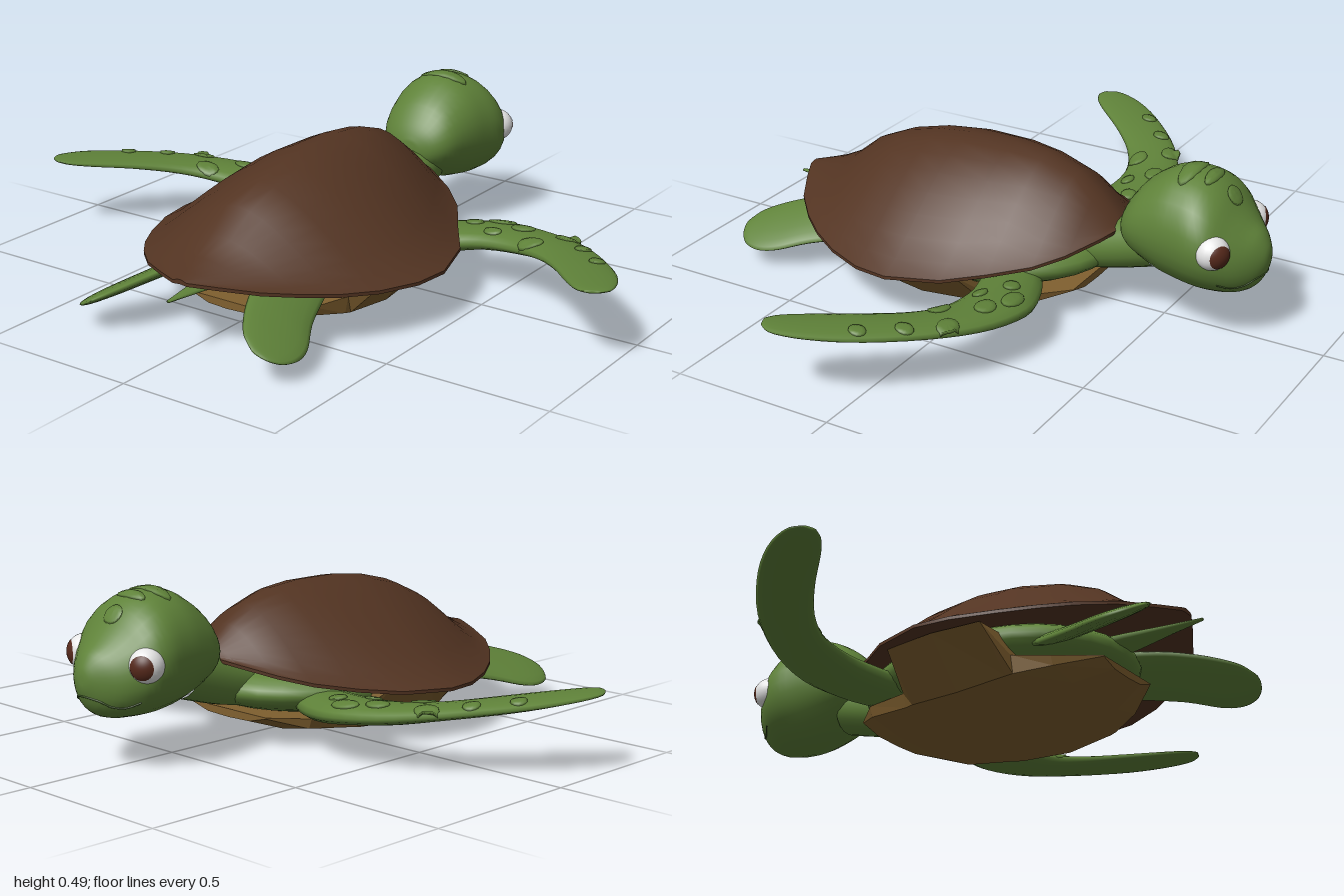
import * as THREE from 'three';
import { toCreasedNormals } from 'three/addons/utils/BufferGeometryUtils.js';

const mat = (name, color) => {
  const m = new THREE.MeshStandardMaterial({ color });
  m.name = name;
  return m;
};

// Closed skin over a list of rings (arrays of [x, y, z]), capped at both ends
function loft(rings) {
  const n = rings[0].length, last = rings.length - 1, pos = [], idx = [];
  const mid = r => [0, 1, 2].map(k => r.reduce((s, p) => s + p[k], 0) / n);
  rings.forEach(r => r.forEach(p => pos.push(...p)));
  pos.push(...mid(rings[0]), ...mid(rings[last]));
  const c0 = n * rings.length;
  for (let j = 0; j < n; j++) {
    const k = (j + 1) % n;
    for (let i = 0; i < last; i++) {
      const a = i * n + j, b = i * n + k;
      idx.push(a, a + n, b, b, a + n, b + n);
    }
    idx.push(c0, j, k, c0 + 1, last * n + k, last * n + j);
  }
  // Turn the faces outward if the volume comes out negative
  const at = i => new THREE.Vector3().fromArray(pos, i * 3);
  let volume = 0;
  for (let i = 0; i < idx.length; i += 3) volume += at(idx[i]).dot(at(idx[i + 1]).cross(at(idx[i + 2])));
  if (volume < 0) idx.reverse();
  const g = new THREE.BufferGeometry();
  g.setAttribute('position', new THREE.Float32BufferAttribute(pos, 3));
  g.setIndex(idx);
  g.computeVertexNormals();
  return g;
}

// Resample a table of rows along a smooth curve
function smooth(rows, n) {
  const cols = rows[0].map((_, k) => new THREE.SplineCurve(rows.map((r, i) => new THREE.Vector2(i, r[k]))));
  return Array.from({ length: n + 1 }, (_, i) => cols.map(c => c.getPoint(i / n).y));
}

// Lens-section blade; row = lead x,y,z, trail x,y,z, half thickness
function blade(rows, side) {
  return loft(smooth(rows, 28).map(([lx, ly, lz, tx, ty, tz, h]) =>
    Array.from({ length: 16 }, (_, j) => {
      const a = j / 16 * Math.PI * 2, s = (1 - Math.cos(a)) / 2;
      return [side * (lx + (tx - lx) * s), ly + (ty - ly) * s + h * Math.sin(a), lz + (tz - lz) * s];
    })));
}

const ray = new THREE.Raycaster();
function hit(mesh, from, dir) {
  ray.set(new THREE.Vector3(...from), new THREE.Vector3(...dir));
  const h = ray.intersectObject(mesh)[0];
  return h ? h.point : null;
}

// Thin raised scale following the top of a mesh
function scalePlate(mesh, cx, cz, rx, rz) {
  const rings = [[1, -0.003], [0.9, 0.005], [0.5, 0.006], [0.02, 0.006]].map(([r, lift]) =>
    Array.from({ length: 14 }, (_, j) => {
      const a = j / 14 * Math.PI * 2, x = cx + rx * r * Math.cos(a), z = cz + rz * r * Math.sin(a);
      const p = hit(mesh, [x, 2, z], [0, -1, 0]) || hit(mesh, [cx, 2, cz], [0, -1, 0]);
      return [x, (p ? p.y : 0.15) + lift, z];
    }));
  return loft(rings);
}

export function createModel() {
  const model = new THREE.Group();
  model.name = 'turtle';
  const skin = mat('green skin', 0x5f8239), shellBrown = mat('shell brown', 0x533422);
  const tan = mat('belly tan', 0x80602f), white = mat('eye white', 0xe6e6e6);
  const iris = mat('iris brown', 0x56291b), dark = mat('mouth green', 0x3f5a27);
  const add = (name, geo, material) => {
    const m = new THREE.Mesh(geo, material);
    m.name = name;
    model.add(m);
    return m;
  };

  // Upper shell: z, half width, rim height, ridge height
  const shellRows = [
    [-0.36, 0.06, 0.258, 0.266], [-0.34, 0.11, 0.248, 0.29], [-0.28, 0.21, 0.222, 0.345],
    [-0.21, 0.285, 0.2, 0.395], [-0.1, 0.355, 0.178, 0.43], [0.01, 0.43, 0.165, 0.44],
    [0.17, 0.475, 0.157, 0.438], [0.28, 0.46, 0.155, 0.425], [0.4, 0.41, 0.158, 0.395],
    [0.5, 0.35, 0.167, 0.35], [0.58, 0.285, 0.178, 0.285], [0.66, 0.2, 0.19, 0.245],
    [0.72, 0.1, 0.202, 0.225], [0.76, 0.025, 0.21, 0.216],
  ];
  const dome = u => Math.pow(1 - Math.pow(Math.abs(u), 1.7), 1.35);
  add('shell', toCreasedNormals(loft(shellRows.map(([z, w, rim, top]) => {
    const ring = [];
    for (let i = -8; i <= 8; i++) ring.push([w * i / 8, rim + (top - rim) * dome(i / 8), z]);
    for (let i = 8; i >= -8; i--) ring.push([w * i / 8, rim - 0.01 + (top - rim) * 0.35 * dome(i / 8), z]);
    return ring;
  })), 0.5), shellBrown);

  // Belly plate with side bridges: z, half width, bottom, outer half width, outer height
  const bellyRows = [
    [-0.28, 0.16, 0.065, 0.16, 0.09], [-0.18, 0.235, 0.032, 0.245, 0.085], [-0.03, 0.26, 0.014, 0.275, 0.075],
    [0, 0.27, 0.011, 0.385, 0.165], [0.17, 0.28, 0, 0.4, 0.16], [0.33, 0.265, 0.012, 0.385, 0.155],
    [0.35, 0.26, 0.015, 0.27, 0.09], [0.45, 0.21, 0.03, 0.22, 0.08], [0.56, 0.12, 0.06, 0.12, 0.085],
  ];
  add('bellyPlate', toCreasedNormals(loft(bellyRows.map(([z, w, b, wo, yo]) => {
    const half = [[wo, yo], [w, b + 0.022], [w * 0.55, b + 0.003]];
    return [...half, [0, b], ...half.map(([x, y]) => [-x, y]).reverse()].map(([x, y]) => [x, y, z]);
  })), 0.05), tan);

  // Body and neck
  add('body', new THREE.SphereGeometry(1, 32, 20).scale(0.34, 0.1, 0.44).translate(0, 0.15, 0.12), skin);
  const neckPath = new THREE.CatmullRomCurve3([[0.165, -0.18], [0.185, -0.3], [0.23, -0.46]]
    .map(([y, z]) => new THREE.Vector3(0, y, z)));
  add('neck', new THREE.TubeGeometry(neckPath, 10, 0.078, 20), skin);

  // Tail: flat tapering spike
  add('tail', loft([[0.45, 0.07, 0.022], [0.58, 0.05, 0.016], [0.7, 0.025, 0.01], [0.81, 0.005, 0.004]].map(([z, w, h]) =>
    Array.from({ length: 12 }, (_, j) => {
      const a = j / 12 * Math.PI * 2;
      return [w * Math.cos(a), 0.168 + h * Math.sin(a), z];
    }))), skin);

  // Head: z, half width, top, bottom
  const headRows = [
    [-0.372, 0.03, 0.31, 0.26], [-0.385, 0.075, 0.345, 0.235], [-0.41, 0.11, 0.385, 0.213],
    [-0.45, 0.135, 0.432, 0.188], [-0.52, 0.156, 0.478, 0.158], [-0.58, 0.168, 0.489, 0.145],
    [-0.64, 0.178, 0.48, 0.14], [-0.69, 0.17, 0.448, 0.142], [-0.73, 0.14, 0.4, 0.145],
    [-0.765, 0.105, 0.362, 0.156], [-0.795, 0.065, 0.335, 0.182], [-0.815, 0.03, 0.3, 0.225], [-0.82, 0.01, 0.275, 0.25],
  ];
  const head = add('head', loft(smooth(headRows, 36).map(([z, w, t, b]) =>
    Array.from({ length: 28 }, (_, j) => {
      const a = j / 28 * Math.PI * 2;
      return [w * Math.cos(a), (t + b) / 2 + (t - b) / 2 * Math.sin(a), z];
    }))), skin);
  [[-0.575, 0.09, 0.03], [-0.64, 0.06, 0.018], [-0.705, 0.035, 0.02]].forEach(([z, rx, rz]) =>
    add('headScale', scalePlate(head, 0, z, rx, rz), skin));

  // Mouth line around the beak
  const lip = [[0.205, -0.715], [0.19, -0.745], [0.194, -0.775], [0.208, -0.795]];
  const sideLip = s => lip.map(([y, z]) => hit(head, [s, y, z], [-s, 0, 0])).filter(Boolean);
  const front = hit(head, [0, 0.217, -2], [0, 0, 1]);
  const lipPath = new THREE.CatmullRomCurve3([...sideLip(1), ...(front ? [front] : []), ...sideLip(-1).reverse()]);
  add('mouth', new THREE.TubeGeometry(lipPath, 40, 0.003, 6), dark);

  // Front flippers
  const frontRows = [
    [0.2, 0.12, -0.2, 0.2, 0.12, -0.02, 0.04], [0.3, 0.125, -0.25, 0.33, 0.13, -0.06, 0.04],
    [0.43, 0.14, -0.285, 0.44, 0.145, -0.09, 0.034], [0.59, 0.157, -0.25, 0.56, 0.157, -0.08, 0.028],
    [0.75, 0.18, -0.16, 0.66, 0.175, -0.03, 0.022], [0.89, 0.2, -0.03, 0.76, 0.195, 0.06, 0.018],
    [0.97, 0.215, 0.08, 0.86, 0.212, 0.17, 0.013], [1, 0.223, 0.17, 0.91, 0.22, 0.215, 0.009],
    [0.982, 0.226, 0.215, 0.945, 0.225, 0.23, 0.004],
  ];
  // Hind flippers, tilted with the outer edge low: outer x,z, inner x,z, half thickness
  const tilt = x => 0.168 - 0.5 * (x - 0.15);
  const hindRows = [
    [0.24, 0.4, 0.1, 0.5, 0.022], [0.3, 0.56, 0.13, 0.6, 0.02], [0.355, 0.66, 0.165, 0.68, 0.018],
    [0.37, 0.72, 0.2, 0.74, 0.016], [0.36, 0.77, 0.235, 0.785, 0.012], [0.335, 0.8, 0.265, 0.805, 0.008],
    [0.31, 0.813, 0.285, 0.815, 0.003],
  ].map(([ox, oz, ix, iz, h]) => [ox, tilt(ox), oz, ix, tilt(ix), iz, h]);
  const spots = [
    [0.43, -0.235, 0.05, 0.027], [0.36, -0.19, 0.03, 0.025], [0.52, -0.2, 0.04, 0.03], [0.45, -0.14, 0.03, 0.02],
    [0.6, -0.1, 0.042, 0.03], [0.68, -0.18, 0.04, 0.03], [0.77, -0.1, 0.025, 0.028], [0.86, -0.01, 0.024, 0.026],
  ];

  for (const [s, label] of [[1, 'left'], [-1, 'right']]) {
    const flipper = add(label + 'FrontFlipper', blade(frontRows, s), skin);
    spots.forEach(([x, z, rx, rz]) => add(label + 'FlipperScale', scalePlate(flipper, s * x, z, rx, rz), skin));
    add(label + 'HindFlipper', blade(hindRows, s), skin);

    // Eye with the iris turned forward
    const eye = new THREE.Group();
    eye.name = label + 'Eye';
    eye.position.set(s * 0.133, 0.307, -0.7);
    const ball = new THREE.Mesh(new THREE.SphereGeometry(0.051, 24, 16), white);
    ball.name = 'eyeball';
    const cap = new THREE.Mesh(new THREE.SphereGeometry(0.0522, 24, 8, 0, Math.PI * 2, 0, 0.72), iris);
    cap.name = 'iris';
    cap.quaternion.setFromUnitVectors(new THREE.Vector3(0, 1, 0), new THREE.Vector3(s * 0.5, 0, -0.87).normalize());
    eye.add(ball, cap);
    model.add(eye);
  }
  return model;
}
